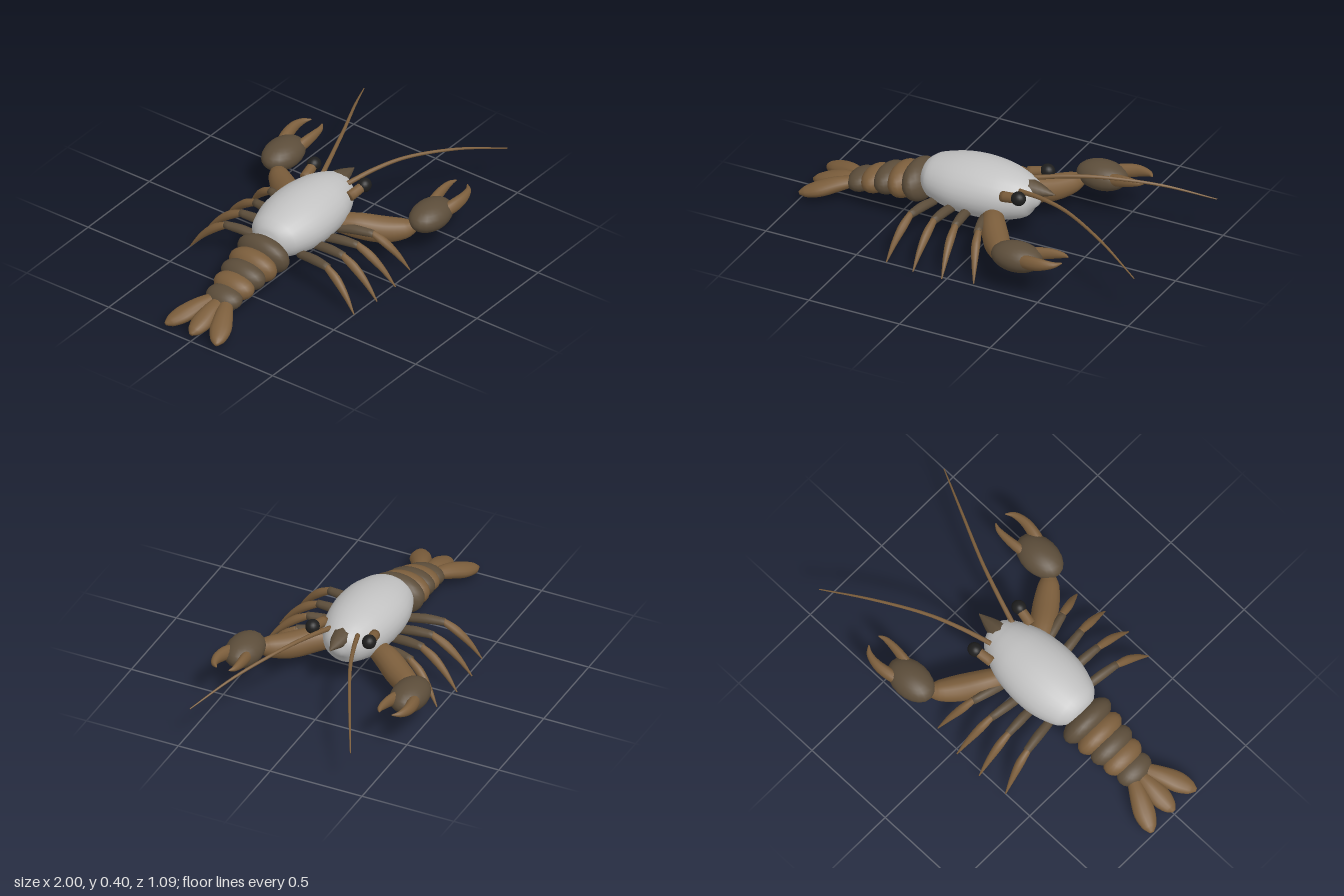
import * as THREE from 'three';

const mat = (name, color) => {
  const m = new THREE.MeshStandardMaterial({ color });
  m.name = name;
  return m;
};

// Smooth tapered body: stations are [x, y, z, half height, half width]
function loft(stations, steps = 16, sides = 14) {
  const path = new THREE.CatmullRomCurve3(stations.map(s => new THREE.Vector3(s[0], s[1], s[2])));
  const size = new THREE.CatmullRomCurve3(stations.map((s, i) => new THREE.Vector3(s[3], s[4] ?? s[3], i)),
    false, 'catmullrom', 0.5);
  const up = new THREE.Vector3(0, 1, 0), pos = [], index = [];
  // the first and last rings shrink to a point and close the ends
  for (let i = -1; i <= steps + 1; i++) {
    const t = Math.min(Math.max(i / steps, 0), 1);
    const k = i < 0 || i > steps ? 0 : 1;
    const p = path.getPoint(t), r = size.getPoint(t), dir = path.getTangent(t);
    const side = new THREE.Vector3().crossVectors(dir, up).normalize();
    const top = new THREE.Vector3().crossVectors(side, dir);
    for (let j = 0; j < sides; j++) {
      const a = j / sides * Math.PI * 2;
      const v = p.clone()
        .addScaledVector(side, k * Math.max(r.y, 0.001) * Math.cos(a))
        .addScaledVector(top, k * Math.max(r.x, 0.001) * Math.sin(a));
      pos.push(v.x, v.y, v.z);
    }
  }
  for (let i = 0; i < steps + 2; i++) for (let j = 0; j < sides; j++) {
    const a = i * sides + j, b = i * sides + (j + 1) % sides;
    index.push(a, a + sides, b, b, a + sides, b + sides);
  }
  const g = new THREE.BufferGeometry();
  g.setAttribute('position', new THREE.Float32BufferAttribute(pos, 3));
  g.setIndex(index);
  g.computeVertexNormals();
  return g;
}

export function createModel() {
  const model = new THREE.Group();
  model.name = 'crayfish';
  const brown = mat('brown', 0x7c5e3c), dark = mat('darkBrown', 0x5c4d3a);
  const grey = mat('shellGrey', 0xc2c2c2), black = mat('eyeBlack', 0x1e1e1e);

  const add = (parent, name, geometry, material) => {
    const m = new THREE.Mesh(geometry, material);
    m.name = name;
    parent.add(m);
    return m;
  };
  const ball = (parent, name, material, [x, y, z], [rx, ry, rz]) => {
    const m = add(parent, name, new THREE.SphereGeometry(1, 20, 14), material);
    m.position.set(x, y, z);
    m.scale.set(rx, ry, rz);
    return m;
  };

  // Carapace
  add(model, 'carapace', loft([
    [-0.385, 0.25, 0, 0.02, 0.02], [-0.368, 0.25, 0, 0.068, 0.08], [-0.32, 0.252, 0, 0.105, 0.135],
    [-0.2, 0.255, 0, 0.135, 0.176], [-0.07, 0.257, 0, 0.146, 0.183], [0.06, 0.257, 0, 0.138, 0.165],
    [0.15, 0.257, 0, 0.116, 0.13], [0.215, 0.255, 0, 0.083, 0.088], [0.25, 0.247, 0, 0.02, 0.02],
  ], 36, 28), grey);

  // Rostrum
  add(model, 'rostrum', loft([
    [0.15, 0.315, 0, 0.035, 0.045], [0.19, 0.313, 0, 0.045, 0.054],
    [0.26, 0.311, 0, 0.03, 0.035], [0.335, 0.308, 0, 0.002, 0.002],
  ], 8, 8), dark);

  // Abdomen rings, shrinking toward the tail
  [[-0.405, 0.203, 0.102, 0.15], [-0.49, 0.182, 0.086, 0.137], [-0.57, 0.167, 0.073, 0.126],
    [-0.645, 0.143, 0.065, 0.114], [-0.725, 0.118, 0.056, 0.1]].forEach(([x, y, h, w], i) => {
    const ring = ball(model, 'abdomenRing' + (i + 1), i % 2 ? brown : dark, [x, y, 0], [0.072, h, w]);
    ring.rotation.z = 0.25;
  });

  // Tail fan
  for (const s of [-1, 0, 1]) {
    add(model, 'tailLobe', loft([
      [-0.75, 0.115, 0.035 * s, 0.025, 0.03], [-0.83, 0.095, 0.075 * s, 0.036, 0.046],
      [-0.91, 0.068, 0.115 * s, 0.036, 0.054], [-0.97, 0.05, 0.142 * s, 0.025, 0.036],
      [-0.998, 0.043, 0.155 * s, 0.008, 0.01],
    ], 16, 14), brown);
  }

  for (const s of [-1, 1]) {
    const half = new THREE.Group();
    half.name = s > 0 ? 'rightFlank' : 'leftFlank';
    model.add(half);
    const limb = (name, material, stations, steps, sides) =>
      add(half, name, loft(stations.map(([x, y, z, h, w]) => [x, y, z * s, h, w]), steps, sides), material);

    // Eye on its stalk
    limb('eyeStalk', brown, [[0.115, 0.312, 0.137, 0.027], [0.16, 0.322, 0.145, 0.026],
      [0.205, 0.332, 0.152, 0.025]], 4, 12);
    ball(half, 'eye', black, [0.213, 0.334, 0.154 * s], [0.038, 0.036, 0.035]);

    // Antenna
    limb('antenna', brown, [[0.18, 0.328, 0.075, 0.013], [0.33, 0.35, 0.125, 0.011],
      [0.5, 0.355, 0.19, 0.009], [0.76, 0.316, 0.315, 0.007], [1, 0.24, 0.437, 0.003]], 28, 8);

    // Claw arm
    limb('clawArm', brown, [[0.055, 0.185, 0.12, 0.05, 0.05], [0.1, 0.175, 0.2, 0.066, 0.062],
      [0.17, 0.155, 0.3, 0.068, 0.066], [0.235, 0.16, 0.385, 0.052, 0.052],
      [0.275, 0.175, 0.425, 0.025, 0.025]], 16, 16);

    // Claw palm
    ball(half, 'clawPalm', dark, [0.36, 0.2, 0.45 * s], [0.136, 0.073, 0.093]);

    // Pincer fingers, hooked toward each other
    limb('outerFinger', brown, [[0.38, 0.205, 0.487, 0.03, 0.03], [0.46, 0.22, 0.51, 0.036, 0.03],
      [0.53, 0.232, 0.518, 0.03, 0.024], [0.59, 0.24, 0.505, 0.016, 0.015],
      [0.622, 0.245, 0.477, 0.003, 0.003]], 16, 12);
    limb('innerFinger', brown, [[0.38, 0.205, 0.415, 0.026, 0.028], [0.46, 0.22, 0.402, 0.032, 0.025],
      [0.53, 0.232, 0.395, 0.026, 0.02], [0.59, 0.24, 0.397, 0.014, 0.013],
      [0.622, 0.245, 0.41, 0.003, 0.003]], 16, 12);

    // Walking legs: [root x, knee x, tip x, tip z]
    [[-0.27, -0.3, -0.335, 0.5], [-0.16, -0.172, -0.177, 0.523],
      [-0.08, -0.055, -0.02, 0.518], [0.02, 0.07, 0.14, 0.487]].forEach(([a, b, c, z]) => {
      limb('upperLeg', dark, [[a, 0.175, 0.12, 0.022], [(a + b) / 2, 0.188, 0.22, 0.025],
        [b, 0.188, 0.315, 0.02]], 8, 10);
      limb('lowerLeg', brown, [[b, 0.193, 0.3, 0.016], [b + (c - b) * 0.28, 0.15, 0.3 + (z - 0.3) * 0.36, 0.022],
        [b + (c - b) * 0.65, 0.085, 0.3 + (z - 0.3) * 0.7, 0.015], [c, 0.005, z, 0.003]], 12, 10);
    });
  }
  return model;
}
